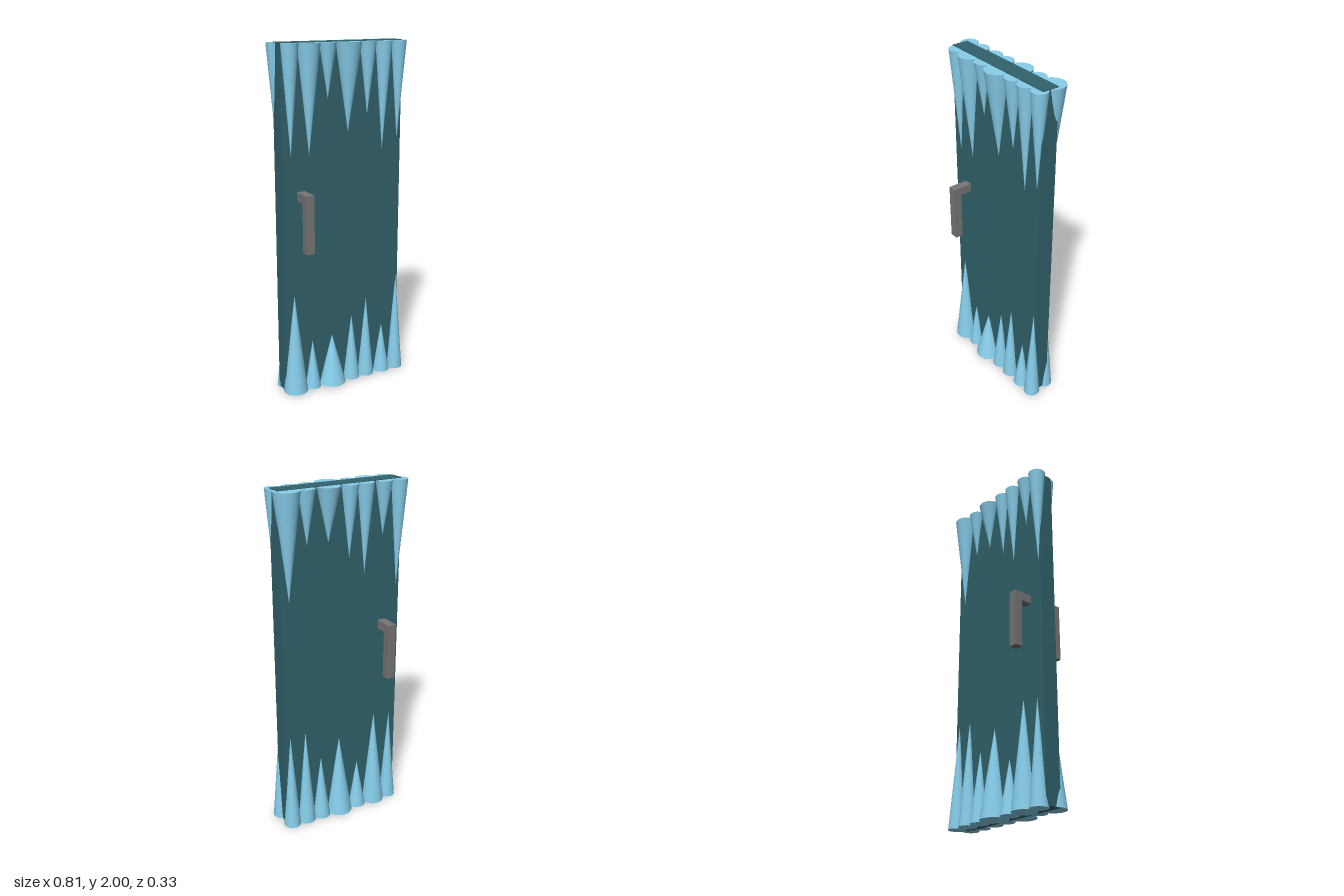
import * as THREE from 'three';

export function createModel() {
  const door = new THREE.Group();
  door.name = 'frozenDoor';
  const panelMat = new THREE.MeshStandardMaterial({ color: 0x31616b });
  const iceMat = new THREE.MeshStandardMaterial({ color: 0x87ceeb });
  const metalMat = new THREE.MeshStandardMaterial({ color: 0x777675 });

  function box(name, parent, mat, [x0, x1], [y0, y1], [z0, z1]) {
    const mesh = new THREE.Mesh(new THREE.BoxGeometry(x1 - x0, y1 - y0, z1 - z0), mat);
    mesh.position.set((x0 + x1) / 2, (y0 + y1) / 2, (z0 + z1) / 2);
    mesh.name = name;
    parent.add(mesh);
  }

  // Door slab
  box('doorPanel', door, panelMat, [-0.378, 0.369], [0.01, 2], [-0.049, 0.048]);

  // Bracket handle on each face
  for (const side of [1, -1]) {
    const handle = new THREE.Group();
    handle.name = side > 0 ? 'frontHandle' : 'backHandle';
    const span = (a, b) => (side > 0 ? [a, b] : [-b, -a]);
    const width = [-0.292, -0.243];
    box('handleArm', handle, metalMat, width, [1.15, 1.2], span(0.04, 0.12));
    box('handleGrip', handle, metalMat, width, [0.87, 1.2], span(0.118, 0.165));
    door.add(handle);
  }

  // Row of ice cones: each entry is [x, radius, length]
  function iceRow(name, z, baseY, up, cones) {
    const row = new THREE.Group();
    row.name = name;
    for (const [x, radius, length] of cones) {
      const cone = new THREE.Mesh(new THREE.ConeGeometry(radius, length, 40), iceMat);
      cone.position.set(x, baseY + (up * length) / 2, z);
      if (up < 0) cone.rotation.x = Math.PI;
      cone.name = up < 0 ? 'icicle' : 'iceSpike';
      row.add(cone);
    }
    door.add(row);
  }

  // Icicles hanging from the top edge
  iceRow('frontIcicles', 0.05, 1.997, -1, [
    [-0.325, 0.05, 0.6], [-0.215, 0.066, 0.6], [-0.1, 0.05, 0.3], [0.025, 0.076, 0.49],
    [0.147, 0.05, 0.4], [0.247, 0.05, 0.6], [0.345, 0.046, 0.55],
  ]);
  iceRow('backIcicles', -0.05, 1.997, -1, [
    [-0.36, 0.05, 0.6], [-0.262, 0.05, 0.3], [-0.148, 0.05, 0.5], [-0.051, 0.05, 0.4],
    [0.078, 0.067, 0.3], [0.206, 0.05, 0.3], [0.318, 0.073, 0.6],
  ]);

  // Spikes rising from the bottom edge
  iceRow('frontSpikes', 0.055, 0.01, 1, [
    [-0.32, 0.07, 0.59], [-0.208, 0.047, 0.29], [-0.08, 0.08, 0.3], [0.05, 0.05, 0.4],
    [0.148, 0.05, 0.49], [0.258, 0.05, 0.3], [0.355, 0.048, 0.6],
  ]);
  iceRow('backSpikes', -0.055, 0, 1, [
    [-0.333, 0.05, 0.58], [-0.225, 0.07, 0.6], [-0.11, 0.053, 0.3], [0.015, 0.078, 0.5],
    [0.138, 0.053, 0.4], [0.238, 0.053, 0.6], [0.335, 0.05, 0.59],
  ]);

  return door;
}
